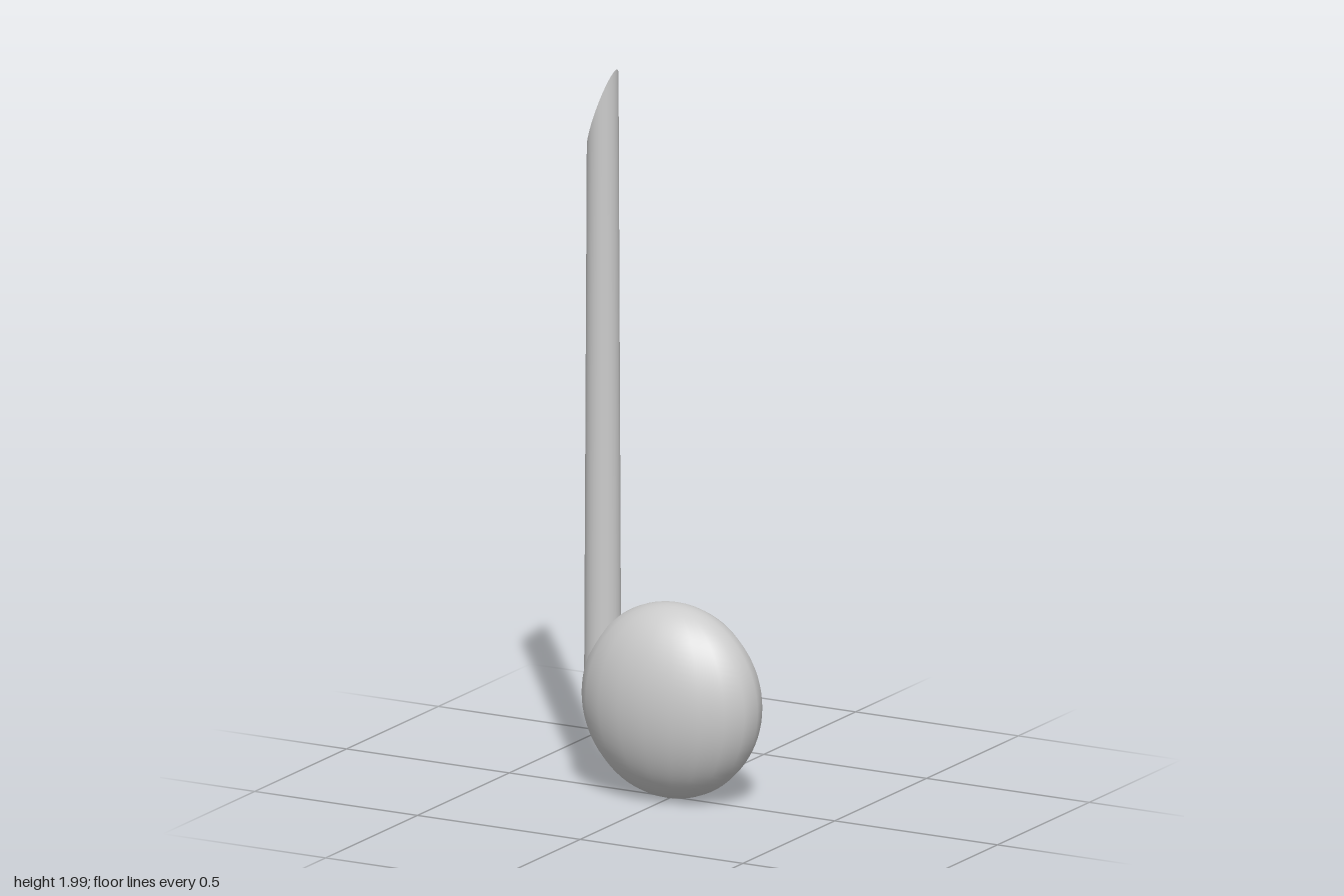
import * as THREE from 'three';

export function createModel() {
  const group = new THREE.Group();
  const material = new THREE.MeshStandardMaterial({ color: 0xcccccc });

  // Round head, flattened front to back
  const headGeometry = new THREE.SphereGeometry(1, 20, 40);
  headGeometry.scale(0.263, 0.269, 0.158);
  const head = new THREE.Mesh(headGeometry, material);
  head.name = 'noteHead';
  head.position.y = 0.275;
  group.add(head);

  // Tapered stem rising from the head's right side
  const bottom = 0.23, top = 1.885, height = top - bottom;
  const topRadius = 0.0425, bottomRadius = 0.05;
  const stemGeometry = new THREE.CylinderGeometry(topRadius, bottomRadius, height, 24);
  stemGeometry.translate(0, height / 2, 0);

  // Slanted cut: shear the upper rim and cap so the inner edge is highest
  const slope = 0.115 / topRadius;
  const p = stemGeometry.attributes.position;
  const n = stemGeometry.attributes.normal;
  const capNormal = new THREE.Vector3(-slope, 1, 0).normalize();
  for (let i = 0; i < p.count; i++) {
    if (p.getY(i) < height / 2) continue;
    p.setY(i, height + p.getX(i) * slope);
    if (n.getY(i) > 0.9) n.setXYZ(i, capNormal.x, capNormal.y, capNormal.z);
  }

  const stem = new THREE.Mesh(stemGeometry, material);
  stem.name = 'stem';
  stem.position.set(-0.213, bottom, 0);
  group.add(stem);

  return group;
}
